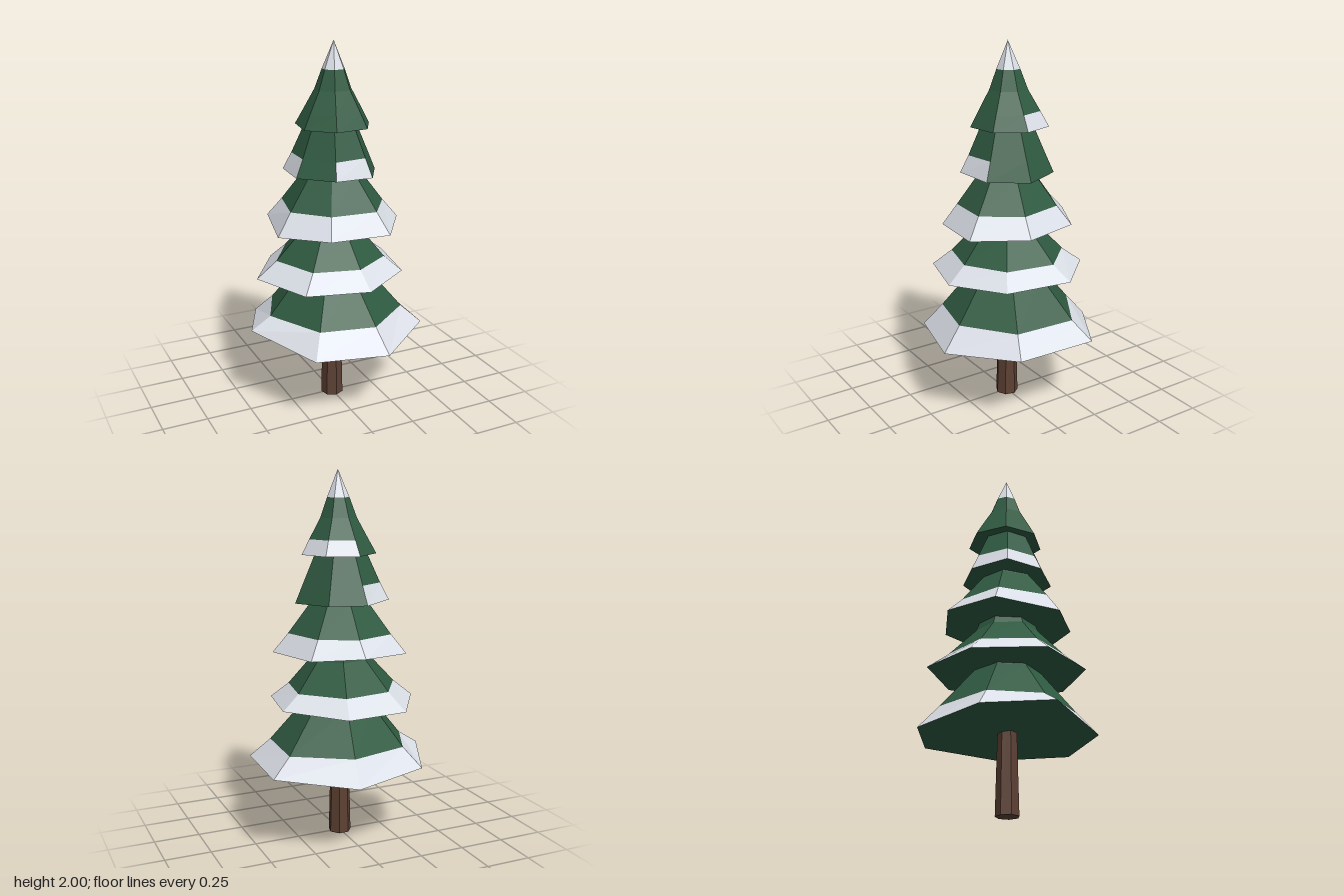
import * as THREE from 'three';

const snow = new THREE.MeshStandardMaterial({ color: 0xdfe3eb });
snow.name = 'snow white';
const green = new THREE.MeshStandardMaterial({ color: 0x2f5a41 });
green.name = 'needle green';
const bark = new THREE.MeshStandardMaterial({ color: 0x5c4033 });
bark.name = 'bark brown';

// Each tier: rim corners [x, z, y] clockwise from the back, rings above it
// [share of rim radius, y] from the snow line up, and which segments hold snow.
const ALL = [0, 1, 2, 3, 4, 5, 6];
const TIERS = [
  {
    rim: [[0.095, -0.47, 0.41], [0.475, -0.235, 0.44], [0.455, 0.21, 0.435], [0.115, 0.468, 0.41],
      [-0.27, 0.385, 0.415], [-0.475, -0.015, 0.465], [-0.325, -0.357, 0.43]],
    rings: [[0.77, 0.535], [0.4, 0.75], [0.22, 0.92]], snowy: ALL,
  },
  {
    rim: [[0.13, -0.413, 0.76], [0.385, -0.148, 0.77], [0.325, 0.21, 0.765], [0.04, 0.39, 0.755],
      [-0.29, 0.305, 0.755], [-0.43, -0.03, 0.755], [-0.225, -0.352, 0.75]],
    rings: [[0.74, 0.845], [0.4, 1.0], [0.26, 1.16]], snowy: ALL,
  },
  {
    rim: [[0.015, -0.362, 1.055], [0.265, -0.24, 1.04], [0.355, 0.085, 1.04], [0.175, 0.34, 1.03],
      [-0.15, 0.315, 1.03], [-0.355, 0.1, 1.02], [-0.28, -0.245, 1.04]],
    rings: [[0.77, 1.14], [0.42, 1.31], [0.28, 1.45]], snowy: ALL,
  },
  {
    rim: [[-0.045, -0.255, 1.31], [0.15, -0.2, 1.31], [0.25, 0.015, 1.305], [0.135, 0.21, 1.31],
      [-0.085, 0.237, 1.32], [-0.235, 0.07, 1.315], [-0.225, -0.14, 1.32]],
    rings: [[0.82, 1.41], [0.56, 1.56], [0.34, 1.7]], snowy: [3, 5, 6],
  },
  {
    rim: [[-0.02, -0.215, 1.56], [0.15, -0.165, 1.56], [0.213, 0.01, 1.56], [0.125, 0.165, 1.56],
      [-0.06, 0.187, 1.56], [-0.185, 0.062, 1.56], [-0.163, -0.11, 1.565]],
    rings: [[0.79, 1.64], [0.49, 1.75], [0.3, 1.855]], snowy: [0, 1], apex: [0.01, 2, 0],
  },
];

function flatMesh(points, material, name) {
  const geometry = new THREE.BufferGeometry();
  geometry.setAttribute('position', new THREE.Float32BufferAttribute(points.flat(), 3));
  geometry.computeVertexNormals();
  const mesh = new THREE.Mesh(geometry, material);
  mesh.name = name;
  return mesh;
}

function makeTier({ rim, rings, snowy, apex }) {
  const needles = [], cover = [], tip = [];
  const n = rim.length;
  const last = rings[rings.length - 1];
  const lean = (y) => (apex ? apex[0] * (y - 1.56) / 0.44 : 0);
  const loops = [rim.map(([x, z, y]) => [x, y, z])];
  for (const [share, y] of rings) loops.push(rim.map(([x, z]) => [x * share + lean(y), y, z * share]));

  // Sloping bands, with snow lying on the lowest one
  for (let k = 0; k < rings.length; k++) {
    const lo = loops[k], up = loops[k + 1];
    for (let i = 0; i < n; i++) {
      const j = (i + 1) % n;
      const target = k === 0 && snowy.includes(i) ? cover : needles;
      target.push(up[i], lo[j], lo[i], up[i], up[j], lo[j]);
    }
  }

  // Closed underside, and a top that is either a snowy point or a hidden lid
  const meanY = rim.reduce((sum, p) => sum + p[2], 0) / n;
  const top = apex || [0, last[1], 0];
  const crown = loops[loops.length - 1];
  for (let i = 0; i < n; i++) {
    const j = (i + 1) % n;
    needles.push([0, meanY, 0], loops[0][i], loops[0][j]);
    (apex ? tip : needles).push(top, crown[j], crown[i]);
  }

  const tier = new THREE.Group();
  tier.add(flatMesh(needles, green, 'branches'), flatMesh(cover, snow, 'snowCover'));
  if (apex) tier.add(flatMesh(tip, snow, 'snowTip'));
  return tier;
}

export function createModel() {
  const tree = new THREE.Group();
  tree.name = 'snowyFirTree';

  // Seven-sided tapering trunk
  const trunkGeometry = new THREE.CylinderGeometry(0.048, 0.063, 0.6, 7).toNonIndexed();
  trunkGeometry.computeVertexNormals();
  const trunk = new THREE.Mesh(trunkGeometry, bark);
  trunk.name = 'trunk';
  trunk.position.y = 0.3;
  tree.add(trunk);

  // Branch tiers from bottom to top
  TIERS.forEach((spec, i) => {
    const tier = makeTier(spec);
    tier.name = `branchTier${i + 1}`;
    tree.add(tier);
  });
  return tree;
}
